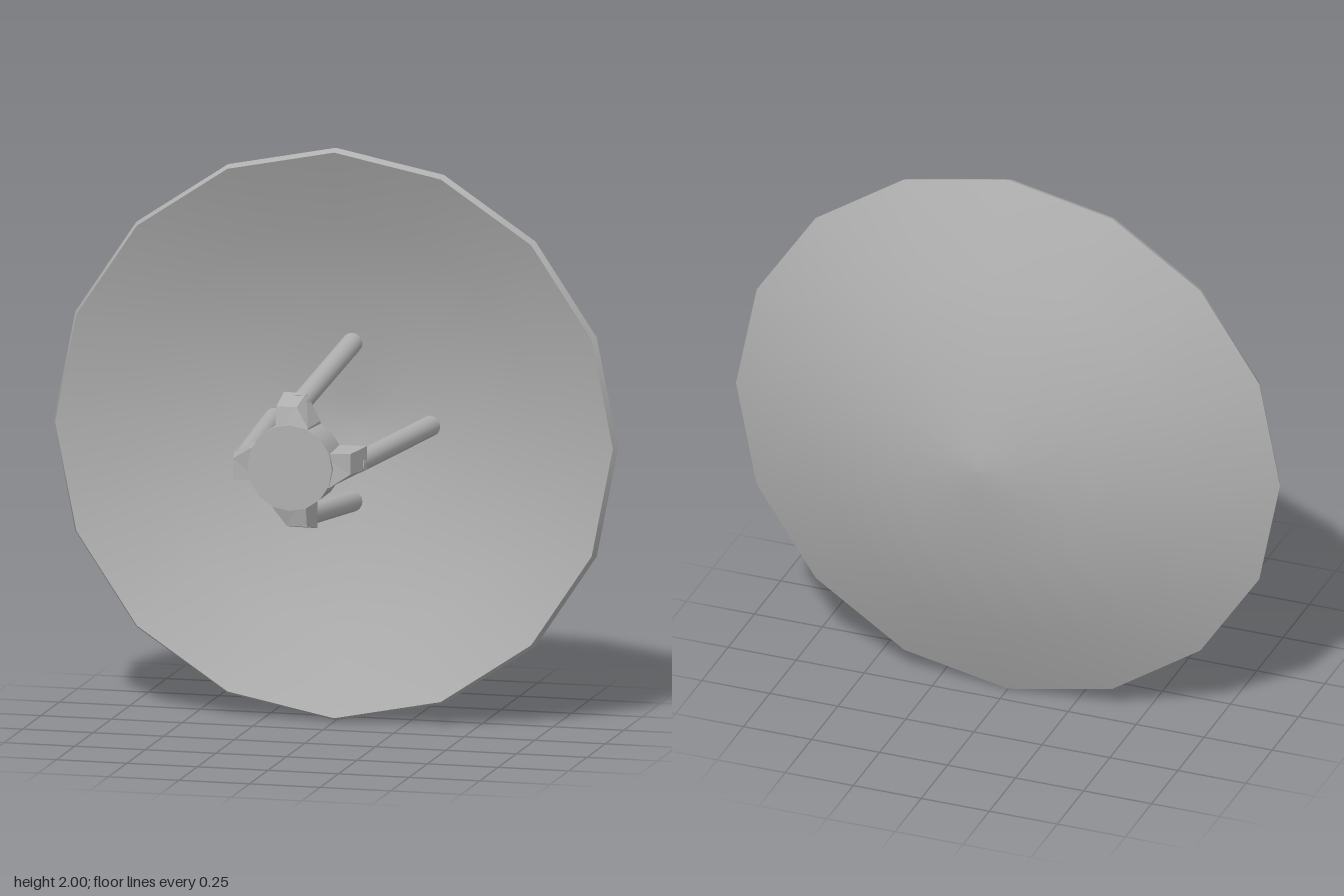
import * as THREE from 'three';

const metal = new THREE.MeshStandardMaterial({ color: 0xb0b0b0 });
metal.name = 'grey metal';

// Surface of revolution about the z axis from [radius, z] points, smooth along its profile
function turned(name, points, segments) {
  const geometry = new THREE.LatheGeometry(points.map(([r, z]) => new THREE.Vector2(r, z)), segments);
  geometry.rotateX(Math.PI / 2);
  const mesh = new THREE.Mesh(geometry, metal);
  mesh.name = name;
  return mesh;
}

// Round bar between two points
function bar(name, from, to, radius) {
  const a = new THREE.Vector3(...from), b = new THREE.Vector3(...to);
  const mesh = new THREE.Mesh(new THREE.CylinderGeometry(radius, radius, a.distanceTo(b), 16), metal);
  mesh.position.copy(a).lerp(b, 0.5);
  mesh.quaternion.setFromUnitVectors(new THREE.Vector3(0, 1, 0), b.sub(a).normalize());
  mesh.name = name;
  return mesh;
}

// Bracket: a one-sided flared block, narrowed and sloped toward its front
function bracketGeometry() {
  const outline = [[-0.06, 0.1], [0.07, 0.1], [0.07, 0.14], [0.02, 0.235], [-0.06, 0.235]];
  const shape = new THREE.Shape(outline.map(([x, y]) => new THREE.Vector2(x, y)));
  const geometry = new THREE.ExtrudeGeometry(shape, { depth: 1, bevelEnabled: false });
  const p = geometry.attributes.position;
  for (let i = 0; i < p.count; i++) {
    const x = p.getX(i), y = p.getY(i), front = p.getZ(i) > 0.5;
    const outer = y > 0.2;
    if (!front) p.setZ(i, 0.305);
    else p.setXYZ(i, x * 0.9, outer ? 0.208 : y, outer ? 0.428 : 0.45);
  }
  const flat = geometry.toNonIndexed ? (geometry.index ? geometry.toNonIndexed() : geometry) : geometry;
  flat.computeVertexNormals();
  return flat;
}

export function createModel() {
  const model = new THREE.Group();
  model.name = 'satelliteDish';

  // Dish: rounded back, narrow rim and hollow front
  const dish = new THREE.Group();
  dish.name = 'dish';
  dish.add(
    turned('dishBack', [[0, -0.455], [0.1, -0.45], [0.4, -0.4], [0.7, -0.305], [1, -0.175]], 16),
    turned('dishRim', [[1, -0.175], [0.988, -0.148]], 16),
    turned('dishFront', [[0.988, -0.148], [0.7, -0.28], [0.4, -0.377], [0.1, -0.428], [0, -0.432]], 16),
  );

  // Receiver: a short drum with a bevelled back
  const receiver = new THREE.Group();
  receiver.name = 'receiver';
  receiver.add(
    turned('receiverBack', [[0, 0.26], [0.115, 0.26]], 16),
    turned('receiverBevel', [[0.115, 0.26], [0.15, 0.305]], 16),
    turned('receiverSide', [[0.15, 0.305], [0.15, 0.455]], 16),
    turned('receiverFace', [[0.15, 0.455], [0, 0.455]], 16),
  );
  model.add(dish, receiver);

  // Four support arms around the receiver
  const bracket = bracketGeometry();
  for (let i = 0; i < 4; i++) {
    const arm = new THREE.Group();
    arm.name = 'supportArm';
    const block = new THREE.Mesh(bracket, metal);
    block.name = 'bracket';
    arm.add(block, bar('strut', [0, 0.279, -0.415], [0, 0.197, 0.33], 0.036));
    arm.rotation.z = i * Math.PI / 2;
    model.add(arm);
  }

  model.position.y = 1;
  const root = new THREE.Group();
  root.add(model);
  return root;
}
